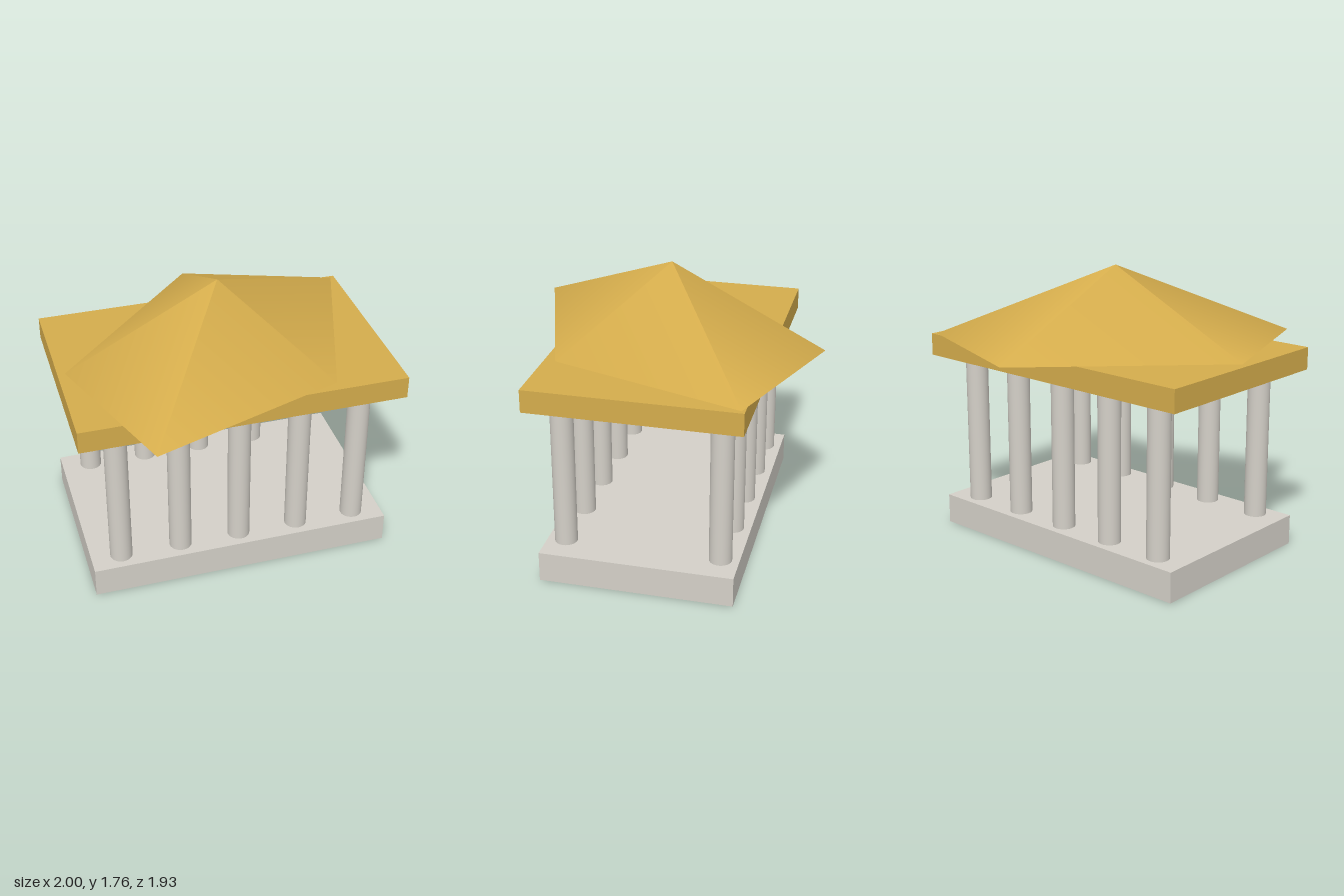
import * as THREE from 'three';

export function createModel() {
  const stone = new THREE.MeshStandardMaterial({ color: 0xd4d0c8 });
  stone.name = 'pale stone';
  const gold = new THREE.MeshStandardMaterial({ color: 0xd4ac4c });
  gold.name = 'gold';

  const temple = new THREE.Group();
  temple.name = 'temple';
  temple.position.z = -0.01;

  const add = (name, geometry, material, x, y, z) => {
    const mesh = new THREE.Mesh(geometry, material);
    mesh.name = name;
    mesh.position.set(x, y, z);
    temple.add(mesh);
    return mesh;
  };

  // Stone platform
  add('platform', new THREE.BoxGeometry(1.9, 0.19, 1.19), stone, 0, 0.095, 0);

  // Two rows of five columns
  const columnGeometry = new THREE.CylinderGeometry(0.07, 0.07, 0.955, 24);
  for (const z of [0.48, -0.48]) {
    for (let i = -2; i <= 2; i++) {
      add('column', columnGeometry, stone, i * 0.38, 0.6675, z);
    }
  }

  // Flat slab resting on the columns
  add('entablature', new THREE.BoxGeometry(2, 0.14, 1.285), gold, 0, 1.215, 0);

  // Five-sided smooth roof, stretched and then turned to the diagonal
  const roof = add('roof', new THREE.ConeGeometry(1, 0.475, 5), gold, 0, 1.5235, 0);
  roof.scale.set(1.186, 1, 0.807);
  roof.rotation.y = Math.PI / 4;

  const model = new THREE.Group();
  model.name = 'model';
  model.add(temple);
  return model;
}
